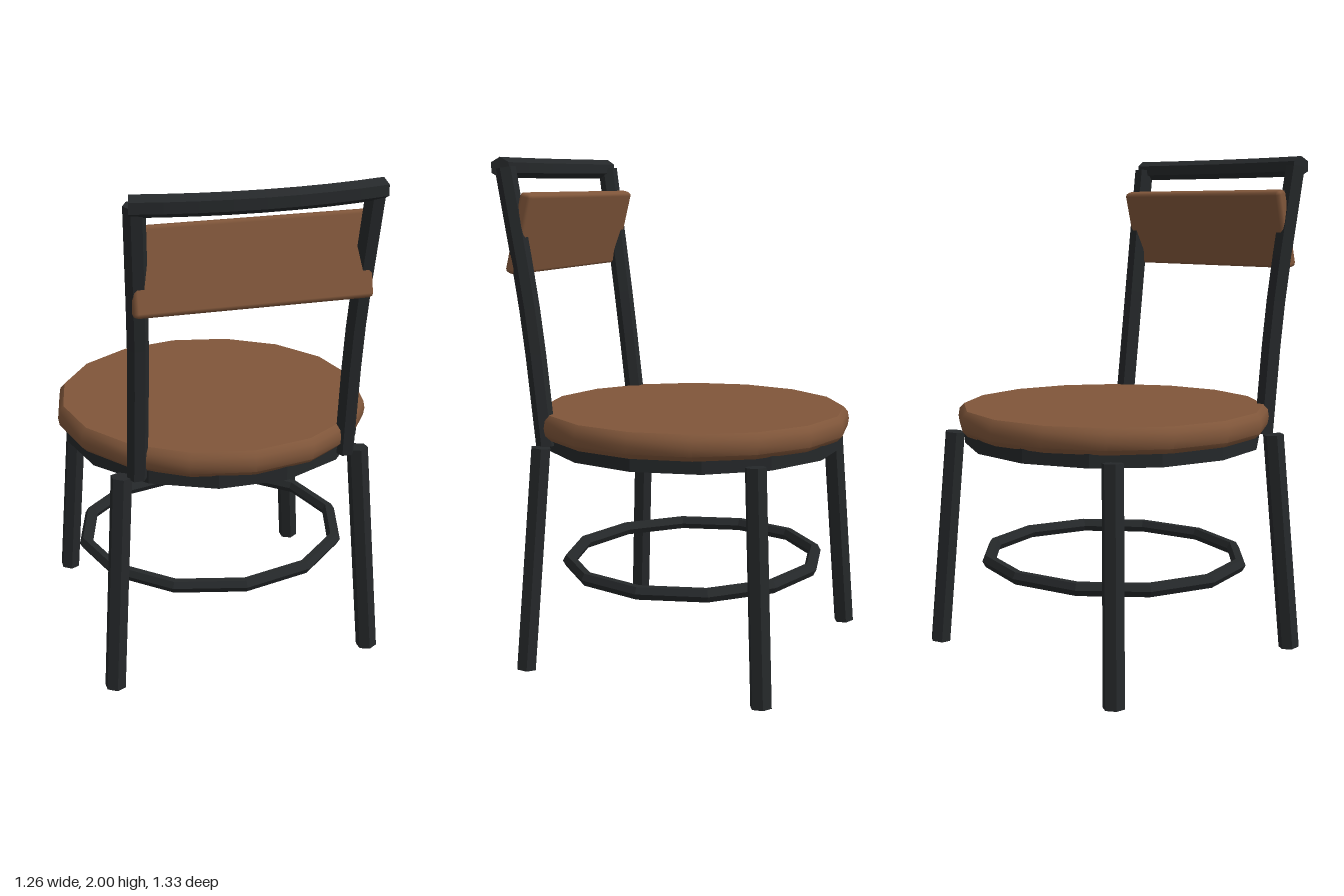
import * as THREE from 'three';
import { toCreasedNormals } from 'three/addons/utils/BufferGeometryUtils.js';
import { RoundedBoxGeometry } from 'three/addons/geometries/RoundedBoxGeometry.js';

const wood = new THREE.MeshStandardMaterial({ color: 0x80563a });
const metal = new THREE.MeshStandardMaterial({ color: 0x25282a, flatShading: true, side: THREE.DoubleSide });
const SEAT_Z = -0.0375;
const SIDES = 6;
const v = (x, y, z) => new THREE.Vector3(x, y, z);

function add(parent, name, geometry, material) {
  const mesh = new THREE.Mesh(geometry, material);
  mesh.name = name;
  parent.add(mesh);
  return mesh;
}

// Hexagonal bar along a curve, closed at both ends
function bar(parent, name, curve, segments, radius) {
  const group = new THREE.Group();
  group.name = name;
  parent.add(group);
  const tube = new THREE.TubeGeometry(curve, segments, radius, SIDES, false);
  add(group, name + 'Bar', tube, metal);
  const pos = tube.attributes.position;
  for (const ring of [0, segments]) {
    const points = [];
    for (let i = 0; i < SIDES; i++) {
      points.push(new THREE.Vector3().fromBufferAttribute(pos, ring * (SIDES + 1) + i));
    }
    const cap = new THREE.BufferGeometry().setFromPoints(points);
    const index = [];
    for (let i = 1; i < SIDES - 1; i++) {
      if (ring) index.push(0, i + 1, i);
      else index.push(0, i, i + 1);
    }
    cap.setIndex(index);
    cap.computeVertexNormals();
    add(group, name + 'Cap', cap, metal);
  }
}

export function createModel() {
  const chair = new THREE.Group();
  chair.name = 'chair';

  // Round wooden seat with a softened rim
  const profile = [[0, 0.91], [0.605, 0.91], [0.625, 0.93], [0.63, 0.96], [0.625, 0.99], [0.607, 1.01], [0, 1.01]]
    .map(([r, y]) => new THREE.Vector2(r, y));
  const seat = add(chair, 'seat', toCreasedNormals(new THREE.LatheGeometry(profile, 16), 0.7), wood);
  seat.position.z = SEAT_Z;

  // Metal plate under the seat
  const plate = add(chair, 'seatPlate', new THREE.CylinderGeometry(0.6, 0.6, 0.055, 14), metal);
  plate.rotation.y = Math.PI / 2;
  plate.position.set(0, 0.8875, SEAT_Z);

  // Four splayed legs
  for (const sx of [1, -1]) {
    for (const sz of [1, -1]) {
      const name = (sz > 0 ? 'back' : 'front') + (sx > 0 ? 'Left' : 'Right') + 'Leg';
      bar(chair, name, new THREE.LineCurve3(
        v(sx * 0.531, 0.003, SEAT_Z + sz * 0.495),
        v(sx * 0.472, 0.89, SEAT_Z + sz * 0.444)), 1, 0.042);
    }
  }

  // Foot ring
  const ringGeometry = new THREE.TorusGeometry(0.537, 0.028, SIDES, 12);
  ringGeometry.rotateX(Math.PI / 2);
  ringGeometry.scale(1, 1, 0.94);
  const ring = add(chair, 'footRing', ringGeometry, metal);
  ring.position.set(0, 0.382, SEAT_Z);

  // Back posts, leaning back and slightly outwards
  for (const sx of [1, -1]) {
    const path = new THREE.CatmullRomCurve3([
      v(sx * 0.413, 0.885, 0.415), v(sx * 0.413, 1.4, 0.475), v(sx * 0.434, 1.96, 0.56)]);
    bar(chair, sx > 0 ? 'leftPost' : 'rightPost', path, 6, 0.04);
  }

  // Bowed top rail
  bar(chair, 'topRail', new THREE.QuadraticBezierCurve3(
    v(-0.455, 1.96, 0.57), v(0, 1.96, 0.684), v(0.455, 1.96, 0.57)), 8, 0.04);

  // Tilted wooden backrest
  const back = add(chair, 'backrest', new RoundedBoxGeometry(0.885, 0.318, 0.053, 1, 0.016), wood);
  back.position.set(0, 1.71, 0.508);
  back.rotation.x = -0.245;

  return chair;
}
